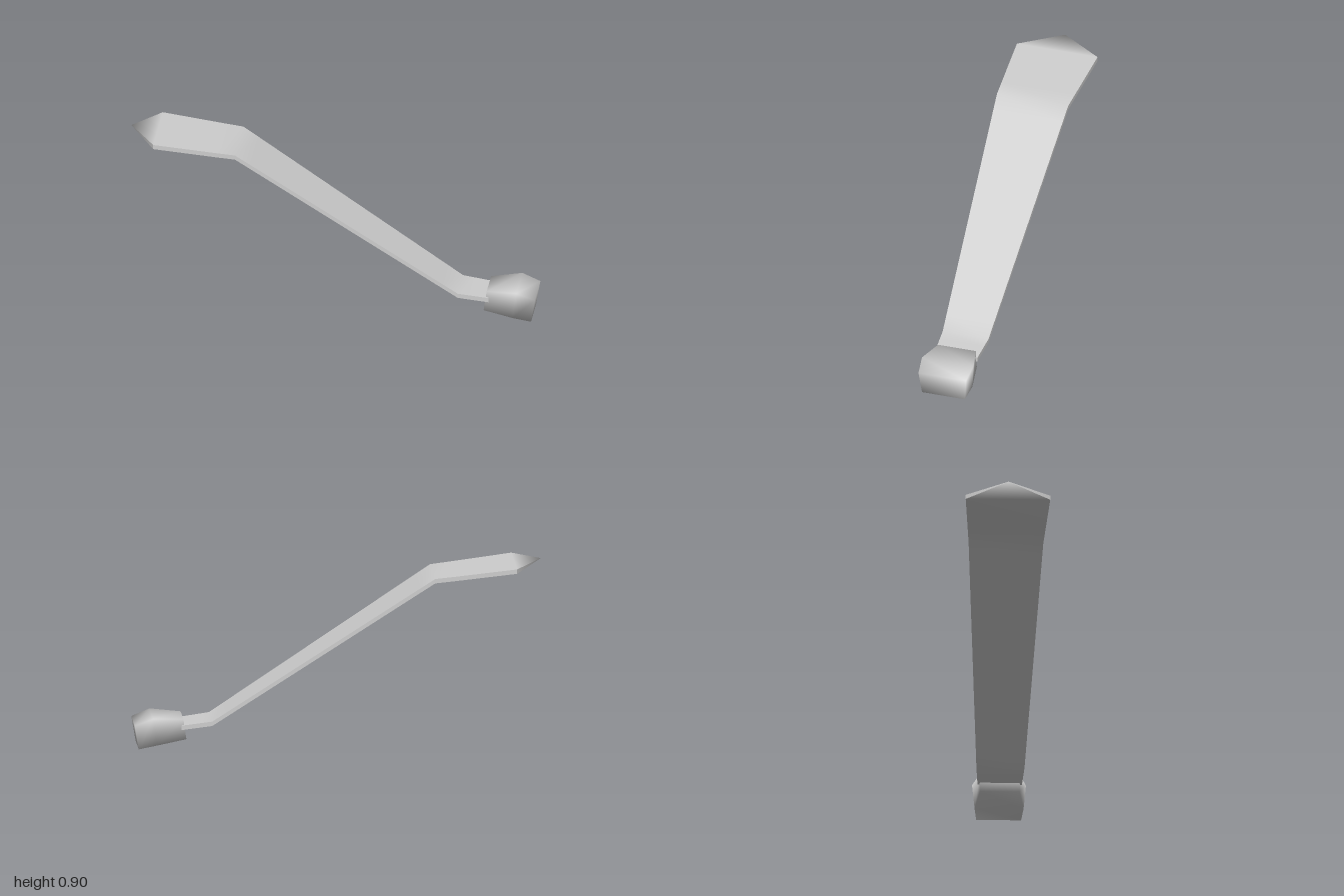
import * as THREE from 'three';
import { toCreasedNormals } from 'three/addons/utils/BufferGeometryUtils.js';

// Loft four-cornered sections along x; each is [topX, topY, topHalf, bottomX, bottomY, bottomHalf].
function loft(sections) {
  const pos = [], idx = [];
  for (const [tx, ty, tw, bx, by, bw] of sections) {
    pos.push(tx, ty, tw, tx, ty, -tw, bx, by, -bw, bx, by, bw);
  }
  const last = (sections.length - 1) * 4;
  for (let i = 0; i < last; i += 4) {
    for (let k = 0; k < 4; k++) {
      const n = (k + 1) % 4;
      idx.push(i + k, i + 4 + k, i + 4 + n, i + k, i + 4 + n, i + n);
    }
  }
  idx.push(0, 1, 2, 0, 2, 3, last, last + 2, last + 1, last, last + 3, last + 2);
  const geo = new THREE.BufferGeometry();
  geo.setAttribute('position', new THREE.Float32BufferAttribute(pos, 3));
  geo.setIndex(idx);
  geo.computeVertexNormals();
  return geo;
}

export function createModel() {
  const group = new THREE.Group();
  const grey = new THREE.MeshStandardMaterial({ color: 0xcccccc });
  grey.name = 'light grey';

  // Bent, tapering strap: [x, top y], with extra sections beside each bend for soft shading.
  const path = [[-0.87, 0.892], [-0.56, 0.855], [-0.47, 0.845], [-0.39, 0.793],
    [0.54, 0.187], [0.62, 0.135], [0.68, 0.127], [0.77, 0.115]];
  const sections = path.map(([x, y]) => {
    const half = 0.207 - (x + 0.87) * 0.06;
    return [x, y, half, x, y - 0.022, half];
  });
  // Pointed end
  sections.unshift([-1, 0.905, 0.001, -1, 0.904, 0.001]);
  const strapGeo = toCreasedNormals(loft(sections), 0.6);
  // Round the shading over the point
  const p = strapGeo.attributes.position, n = strapGeo.attributes.normal;
  for (let i = 0; i < p.count; i++) if (p.getX(i) < -0.99) n.setXYZ(i, -1, 0, 0);
  const strap = new THREE.Mesh(strapGeo, grey);
  strap.name = 'strap';

  // Chunky smooth-shaded block on the low end
  const knob = new THREE.Mesh(loft([
    [0.76, 0.145, 0.097, 0.745, 0.045, 0.097],
    [0.91, 0.155, 0.132, 0.89, 0.02, 0.12],
    [1.0, 0.12, 0.122, 0.98, 0.0, 0.11],
  ]), grey);
  knob.name = 'endKnob';

  group.add(strap, knob);
  return group;
}
